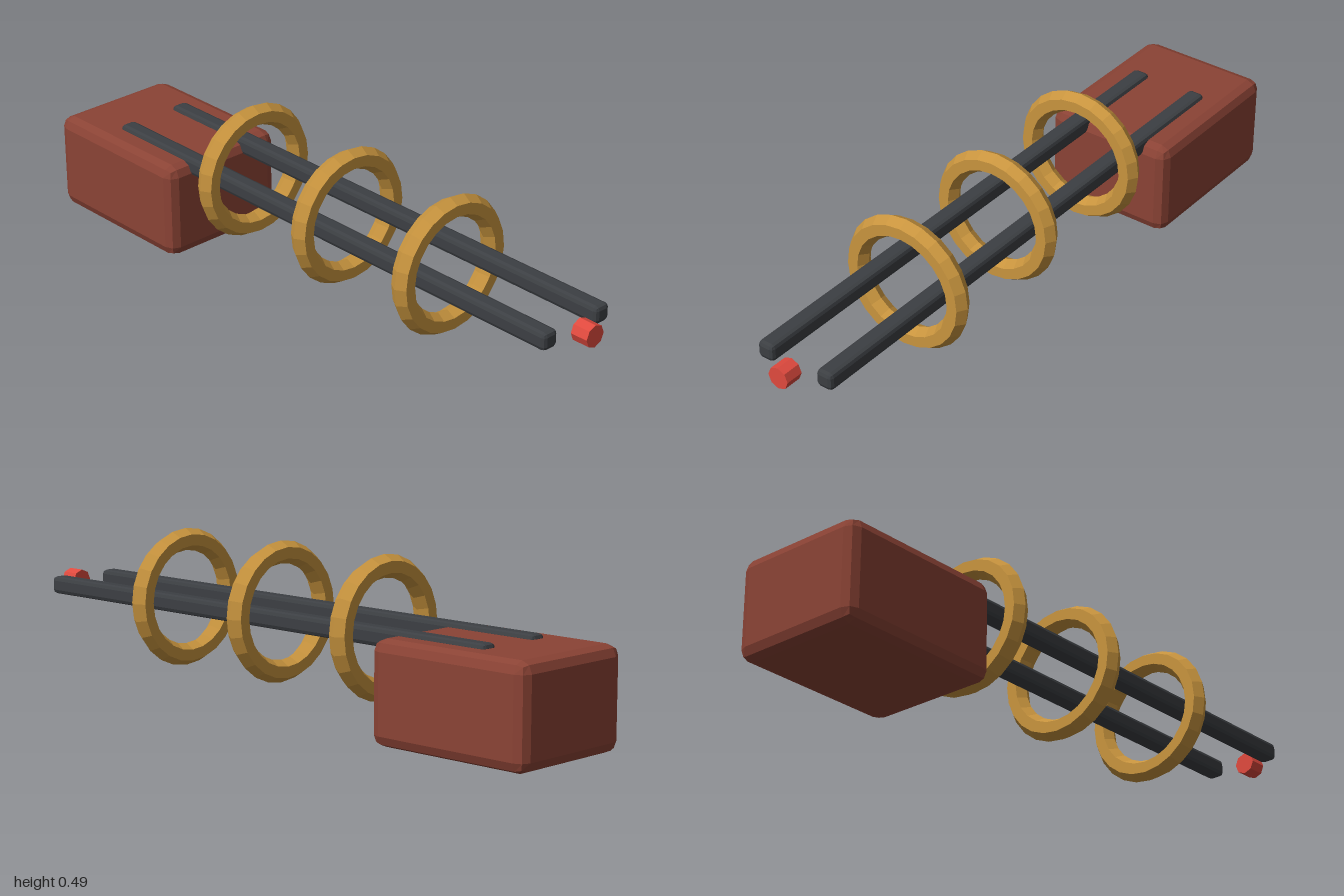
import * as THREE from 'three';
import { RoundedBoxGeometry } from 'three/addons/geometries/RoundedBoxGeometry.js';

const material = (color) => new THREE.MeshStandardMaterial({ color, flatShading: true });

export function createModel() {
  const model = new THREE.Group();
  const axisY = 0.2825; // shared height of rails, rings and tip

  const add = (name, geometry, mat, x, y, z = 0) => {
    const mesh = new THREE.Mesh(geometry, mat);
    mesh.name = name;
    mesh.position.set(x, y, z);
    model.add(mesh);
    return mesh;
  };

  // Heavy base block with bevelled edges
  add('baseBlock', new RoundedBoxGeometry(0.53, 0.296, 0.415, 1, 0.033), material(0x8b4335), -0.735, 0.148);

  // Two parallel rails, partly sunk into the top of the block
  const railGeometry = new RoundedBoxGeometry(1.738, 0.053, 0.053, 1, 0.0125);
  const railMaterial = material(0x3c3f43);
  for (const side of [1, -1]) {
    add(side > 0 ? 'frontRail' : 'backRail', railGeometry, railMaterial, 0.069, axisY, side * 0.101);
  }

  // Three evenly spaced rings around the rails
  const ringGeometry = new THREE.TorusGeometry(0.174, 0.0333, 6, 24).rotateY(Math.PI / 2);
  const ringMaterial = material(0xc8943e);
  for (let i = 0; i < 3; i++) {
    add(`ring${i + 1}`, ringGeometry, ringMaterial, -0.334 + i * 0.401, axisY);
  }

  // Small octagonal tip floating beyond the rail ends
  const tipGeometry = new THREE.CylinderGeometry(0.0333, 0.0333, 0.055, 8).rotateZ(-Math.PI / 2);
  add('tip', tipGeometry, material(0xe04a3e), 0.9725, axisY);

  return model;
}
